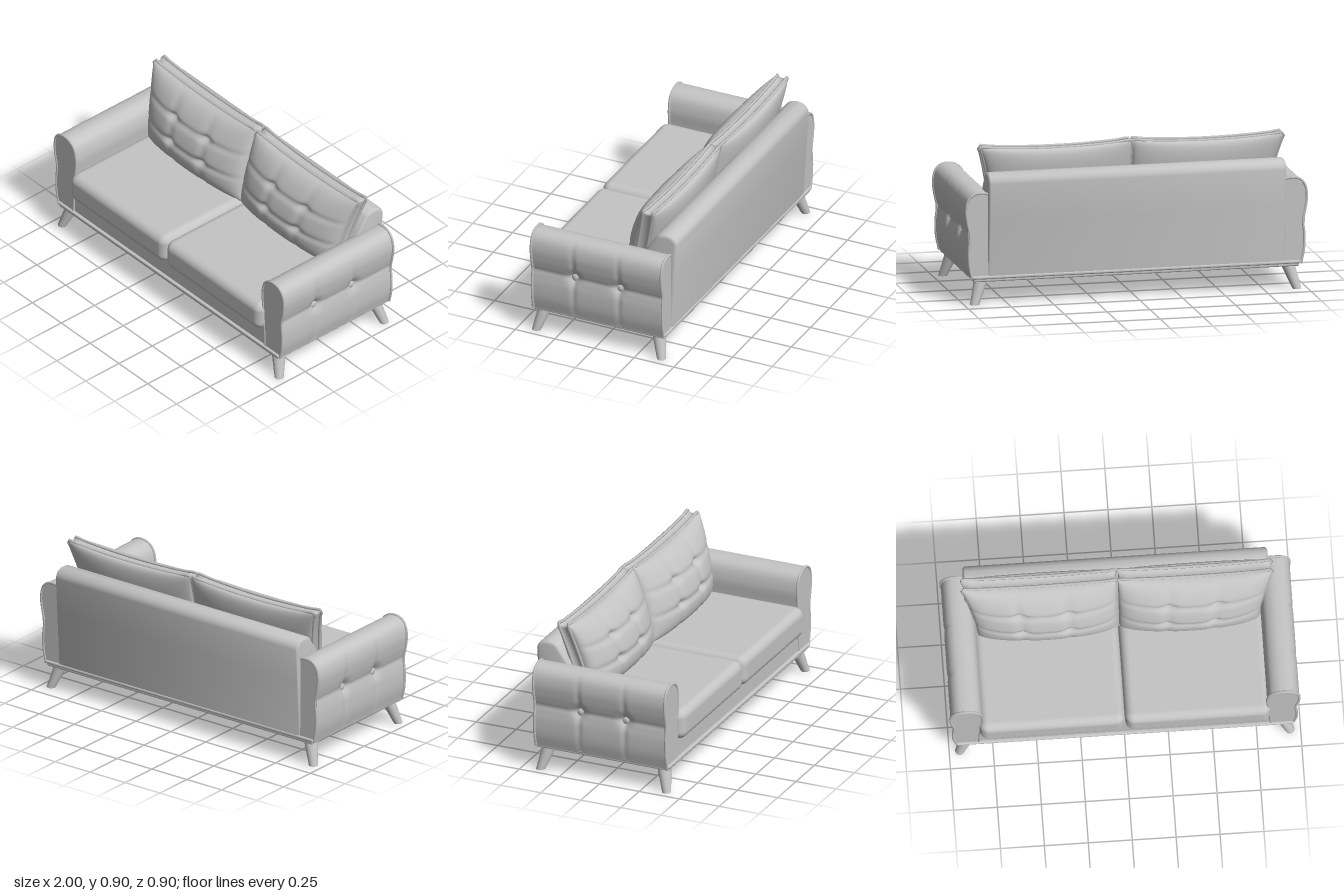
import * as THREE from 'three';
import { toCreasedNormals } from 'three/addons/utils/BufferGeometryUtils.js';
import { RoundedBoxGeometry } from 'three/addons/geometries/RoundedBoxGeometry.js';

const fabric = new THREE.MeshStandardMaterial({ color: 0xc4c4c4 });
fabric.name = 'greyFabric';

const bell = (d, w) => Math.exp(-(d * d) / (w * w));

// Plane grid with u, v in [-1, 1] moved by a rule returning [x, y, z]
function sheet(nu, nv, rule) {
  const geo = new THREE.PlaneGeometry(2, 2, nu, nv);
  const p = geo.attributes.position;
  for (let i = 0; i < p.count; i++) p.setXYZ(i, ...rule(p.getX(i), p.getY(i)));
  geo.computeVertexNormals();
  return geo;
}

// Reflected copy across x = 0 with the winding kept outward
function mirrored(geo) {
  const g = geo.clone();
  for (const name of ['position', 'normal']) {
    const a = g.attributes[name];
    for (let i = 0; i < a.count; i++) a.setX(i, -a.getX(i));
  }
  const ix = g.index;
  for (let i = 0; i < ix.count; i += 3) {
    const b = ix.getX(i + 1);
    ix.setX(i + 1, ix.getX(i + 2));
    ix.setX(i + 2, b);
  }
  return g;
}

function add(parent, geo, name) {
  const mesh = new THREE.Mesh(geo, fabric);
  mesh.name = name;
  parent.add(mesh);
  return mesh;
}

// Adds a left part and its mirror image
function addPair(parent, geo, name) {
  add(parent, geo, name + 'Left');
  add(parent, mirrored(geo), name + 'Right');
}

function piping(points, radius, closed) {
  return new THREE.TubeGeometry(new THREE.CatmullRomCurve3(points, closed), points.length * 2, radius, 6, closed);
}

function buildArms(group) {
  // Outline from the inner foot, over the rounded top, to the outer foot
  const outline = new THREE.CatmullRomCurve3([
    [0.83, 0.15], [0.825, 0.3], [0.815, 0.45], [0.81, 0.54], [0.83, 0.615], [0.87, 0.645], [0.91, 0.651],
    [0.95, 0.643], [0.98, 0.612], [0.993, 0.55], [0.986, 0.48], [0.971, 0.405], [0.978, 0.32],
    [0.975, 0.23], [0.958, 0.15],
  ].map(([x, y]) => new THREE.Vector3(x, y, 0)));
  const buttonZ = [0.145, -0.14];
  const zMid = -0.006, zHalf = 0.412;

  // Padded skin, pinched at the two buttons on the outer side
  addPair(group, sheet(80, 90, (u, v) => {
    const q = outline.getPointAt((v + 1) / 2);
    const z = zMid + u * zHalf;
    if (q.x > 0.94) {
      const dy = q.y - 0.405;
      const panel = bell(dy, 0.2) * Math.min(1, (q.x - 0.94) / 0.03);
      let dent = 0.005 * bell(dy, 0.012);
      for (const b of buttonZ) {
        dent += 0.009 * bell(z - b, 0.016) * panel + 0.022 * bell(Math.hypot(z - b, dy), 0.035);
      }
      q.x -= dent;
    }
    return [q.x, q.y, z];
  }), 'armPadding');

  // End panels with piped edges
  const pts = outline.getSpacedPoints(40);
  const panel = new THREE.ShapeGeometry(new THREE.Shape(pts.map((p) => new THREE.Vector2(p.x, p.y))));
  addPair(group, panel.clone().translate(0, 0, zMid + zHalf), 'armFrontPanel');
  addPair(group, panel.clone().rotateY(Math.PI).scale(1, 1, 1).translate(1.8, 0, zMid - zHalf), 'armBackPanel');
  for (const [end, name] of [[1, 'armFrontPiping'], [-1, 'armBackPiping']]) {
    const edge = pts.map((p) => new THREE.Vector3(p.x, p.y, zMid + end * (zHalf - 0.002)));
    addPair(group, piping(edge, 0.008, false), name);
  }
  // Tufting buttons
  for (const z of buttonZ) {
    const button = new THREE.SphereGeometry(0.021, 16, 10).scale(0.45, 1, 1).translate(0.948, 0.4, z);
    addPair(group, button, 'armButton');
  }
}

function buildBackCushions(group) {
  const edge = (u, v) => {
    const h = (v + 1) / 2;
    const width = 0.8 + 0.085 * h - 0.014 * (1 - v * v);
    return [0.004 + ((u + 1) / 2) * (width - 0.004), 0.45 + h * (0.42 + 0.02 * u * u), -0.14 - 0.11 * h];
  };
  const ease = (t) => Math.sin((t * Math.PI) / 2);
  const puff = (u, v) => Math.pow(Math.max(0, (1 - u * u) * (1 - v * v)), 0.38);
  const depth = 0.06;

  // Tufted front face
  addPair(group, sheet(64, 56, (a, b) => {
    const u = ease(a), v = ease(b);
    const [x, y, z] = edge(u, v);
    const du = Math.abs(u) - 0.33, dv = Math.abs(v) - 0.33;
    const dent = 0.008 * bell(du, 0.06) + 0.01 * bell(dv, 0.07) + 0.02 * bell(Math.hypot(du, dv), 0.1);
    const f = puff(u, v);
    return [x, y, z + (0.122 - 0.014 * v) * f - dent * f];
  }), 'backCushionFront');

  // Plain rear face
  addPair(group, sheet(32, 32, (a, b) => {
    const u = ease(-a), v = ease(b);
    const [x, y, z] = edge(u, v);
    return [x, y, z - depth - 0.068 * puff(u, v)];
  }), 'backCushionRear');

  // Walk once round the cushion, counter-clockwise from the front
  const around = (t) => {
    const k = Math.floor(t) % 4, f = 2 * (t - Math.floor(t)) - 1;
    return edge(...[[f, -1], [1, f], [-f, 1], [-1, -f]][k]);
  };
  addPair(group, sheet(80, 6, (a, w) => {
    const [x, y, z] = around((a + 1) * 2);
    const sink = 0.014 * (1 - w * w);
    return [x + (0.42 - x) * sink * 2, y + (0.66 - y) * sink * 3, z - ((1 - w) / 2) * depth];
  }).rotateZ(0), 'backCushionBorder');
  for (const [dz, name] of [[0, 'backCushionFrontPiping'], [-depth, 'backCushionRearPiping']]) {
    const pts = Array.from({ length: 48 }, (_, i) => {
      const [x, y, z] = around(i / 12);
      return new THREE.Vector3(x, y, z + dz);
    });
    addPair(group, piping(pts, 0.009, true), name);
  }
}

export function createModel() {
  const sofa = new THREE.Group();
  sofa.name = 'sofa';

  // Base board, its piped rim and the front rail
  add(sofa, new RoundedBoxGeometry(1.9, 0.03, 0.83, 3, 0.008).translate(0, 0.149, -0.004), 'baseBoard');
  add(sofa, new RoundedBoxGeometry(1.92, 0.02, 0.846, 3, 0.009).translate(0, 0.16, -0.004), 'baseRim');
  add(sofa, new RoundedBoxGeometry(1.68, 0.16, 0.8, 3, 0.015).translate(0, 0.23, 0.002), 'seatRail');

  // Leaning backrest, its outline given as (-z, y)
  const outline = new THREE.Shape();
  outline.moveTo(0.2, 0.17);
  outline.lineTo(0.25, 0.6);
  outline.lineTo(0.335, 0.725);
  outline.bezierCurveTo(0.35, 0.752, 0.435, 0.755, 0.437, 0.705);
  outline.lineTo(0.425, 0.5);
  outline.lineTo(0.405, 0.17);
  outline.closePath();
  const back = new THREE.ExtrudeGeometry(outline, {
    depth: 1.7, bevelEnabled: true, bevelSize: 0.018, bevelThickness: 0.018, bevelSegments: 4, curveSegments: 16,
  });
  back.translate(0, 0, -0.85).rotateY(Math.PI / 2);
  add(sofa, toCreasedNormals(back, 0.7), 'backrest');

  // Seat cushions, slightly crowned
  const seat = new RoundedBoxGeometry(0.828, 0.18, 0.71, 6, 0.05).translate(0.415, 0.364, 0.1);
  seat.setIndex([...Array(seat.attributes.position.count).keys()]);
  const p = seat.attributes.position;
  for (let i = 0; i < p.count; i++) {
    const u = (p.getX(i) - 0.415) / 0.414;
    if (p.getZ(i) > 0.3) p.setZ(i, p.getZ(i) - 0.012 * u * u * u * u);
  }
  addPair(sofa, seat, 'seatCushion');

  buildBackCushions(sofa);
  buildArms(sofa);

  // Tapered legs splayed towards the corners
  for (const [end, name] of [[1, 'frontLeg'], [-1, 'backLeg']]) {
    const leg = new THREE.CylinderGeometry(0.042, 0.026, 0.15, 20, 4).translate(0, 0.075, 0);
    const q = leg.attributes.position;
    for (let i = 0; i < q.count; i++) {
      const h = q.getY(i) / 0.15;
      q.setX(i, q.getX(i) + 0.94 - 0.05 * h);
      q.setZ(i, q.getZ(i) + end * (0.394 - 0.04 * h));
    }
    leg.computeVertexNormals();
    addPair(sofa, leg, name);
  }
  return sofa;
}
